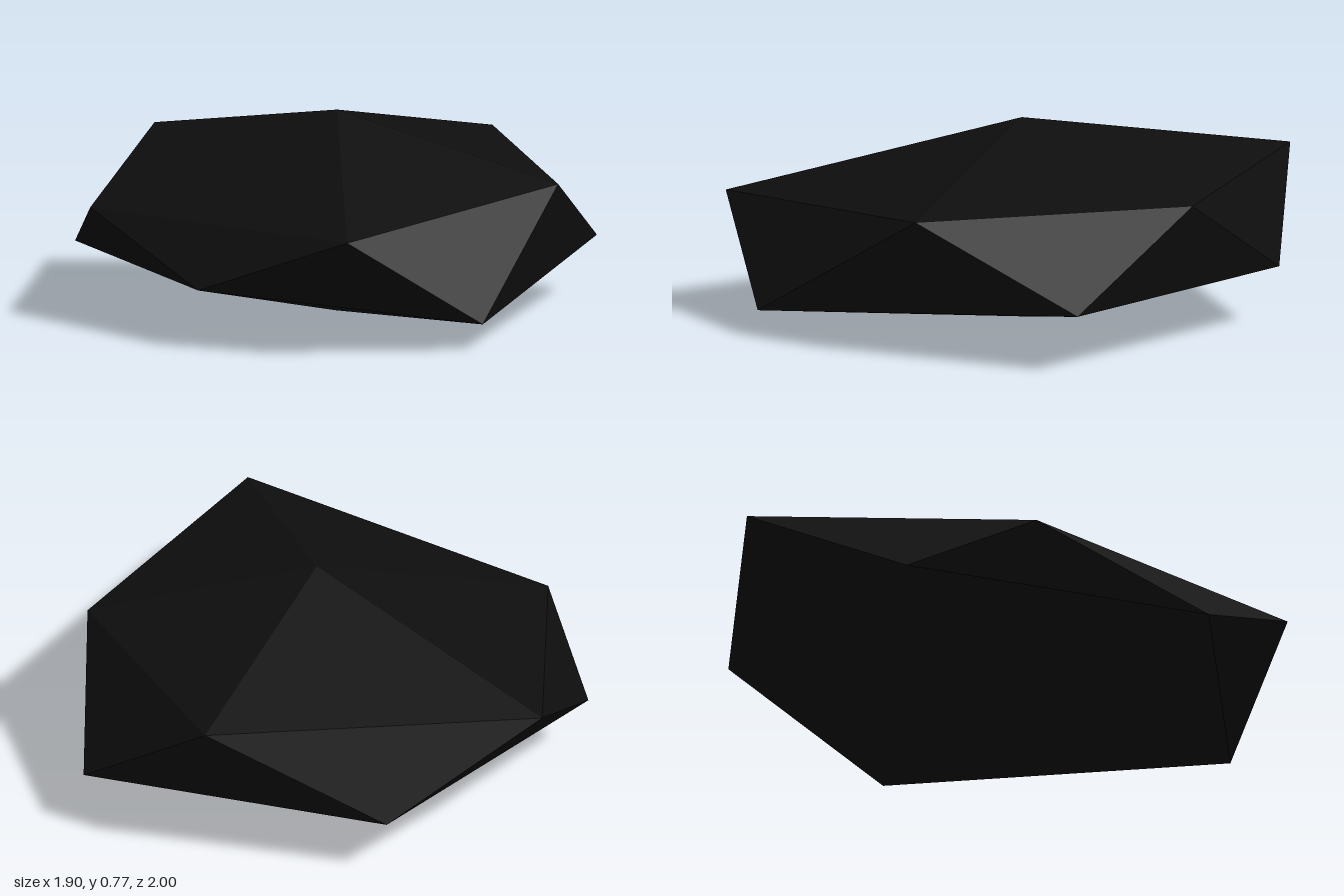
import * as THREE from 'three';

export function createModel() {
  const group = new THREE.Group();
  group.name = 'rock';

  // Two staggered rings of five corners, listed from the back left through the right side
  const top = [0.08, 0.77, -0.08];
  const bottom = [0.08, 0, -0.08];
  const upper = [[-0.83, 0.57, -0.75], [0.43, 0.58, -0.99], [0.95, 0.525, -0.08], [0.43, 0.45, 1], [-0.76, 0.43, 0.375]];
  const lower = [[-0.26, 0.22, -1], [0.91, 0.22, -0.75], [0.86, 0.1, 0.64], [-0.19, 0.22, 0.88], [-0.95, 0.22, -0.08]];

  // Cap, zigzag band and underside
  const positions = [];
  const face = (...corners) => corners.forEach((c) => positions.push(...c));
  for (let i = 0; i < 5; i++) {
    const j = (i + 1) % 5;
    face(top, upper[j], upper[i]);
    face(upper[i], upper[j], lower[i]);
    face(upper[j], lower[j], lower[i]);
    face(bottom, lower[i], lower[j]);
  }

  const geometry = new THREE.BufferGeometry();
  geometry.setAttribute('position', new THREE.Float32BufferAttribute(positions, 3));
  geometry.computeVertexNormals();

  const stone = new THREE.Mesh(geometry, new THREE.MeshStandardMaterial({ color: 0x0e0e0e, flatShading: true }));
  stone.name = 'stone';
  group.add(stone);
  return group;
}
